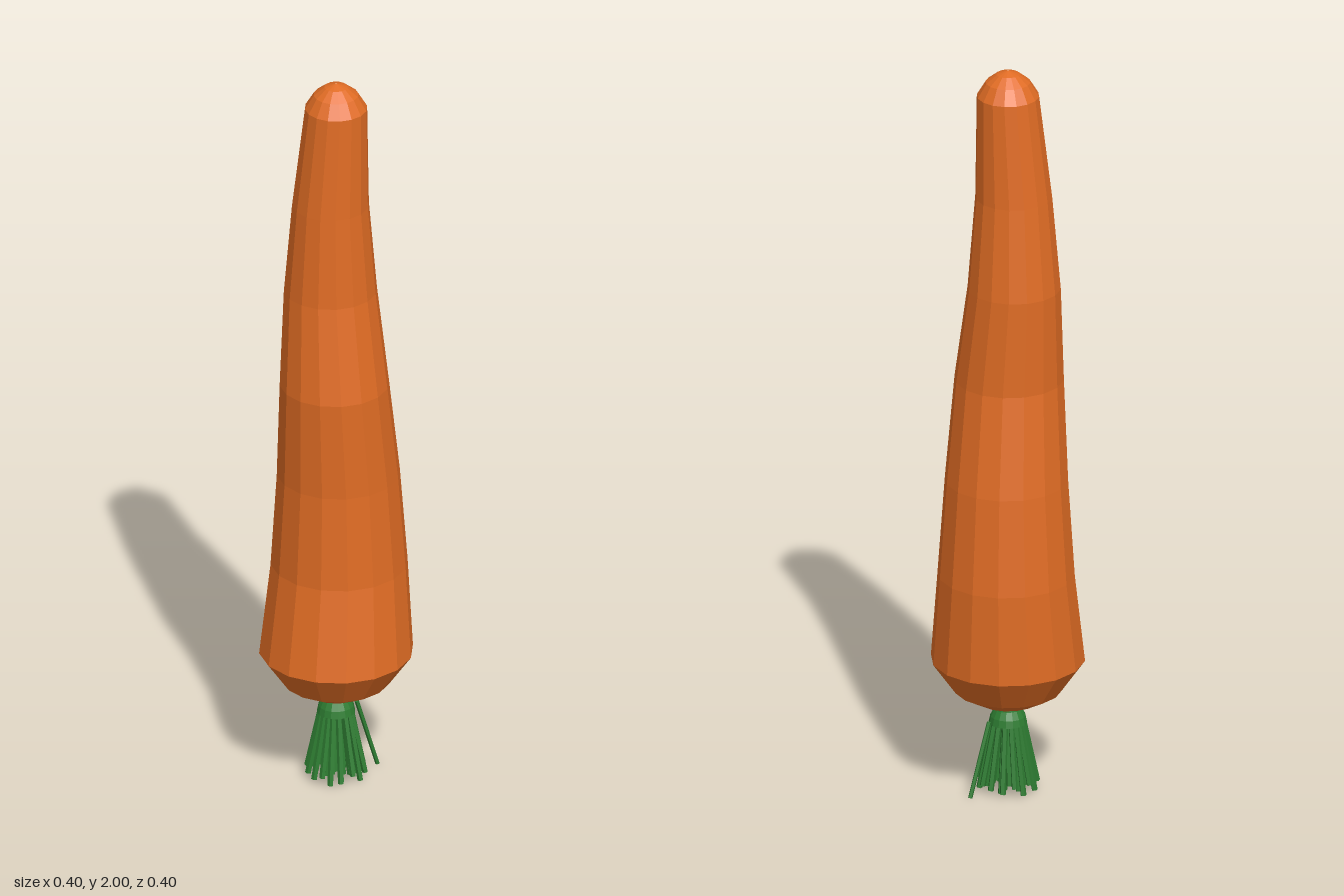
import * as THREE from 'three';

const SIDES = 16;

// Faceted skin through circular rings [y, radius, centreX, centreZ], bottom to top
function loft(rings, material) {
  const pos = [], index = [];
  for (const [y, r, cx = 0, cz = 0] of rings) {
    for (let i = 0; i < SIDES; i++) {
      const a = (i / SIDES) * Math.PI * 2;
      pos.push(cx + r * Math.cos(a), y, cz + r * Math.sin(a));
    }
  }
  for (let k = 0; k < rings.length - 1; k++) {
    for (let i = 0; i < SIDES; i++) {
      const j = (i + 1) % SIDES;
      const a = k * SIDES + i, b = k * SIDES + j, c = a + SIDES, d = b + SIDES;
      index.push(a, c, b, b, c, d);
    }
  }
  const geo = new THREE.BufferGeometry();
  geo.setAttribute('position', new THREE.Float32BufferAttribute(pos, 3));
  geo.setIndex(index);
  geo.computeVertexNormals();
  return new THREE.Mesh(geo, material);
}

export function createModel() {
  const group = new THREE.Group();
  const orange = new THREE.MeshStandardMaterial({ color: 0xe06c24, flatShading: true });
  const green = new THREE.MeshStandardMaterial({ color: 0x2e7d32, flatShading: true });

  // Root: rounded shoulder, slightly wandering taper, domed tip
  const root = loft([
    [0.23, 0.001], [0.232, 0.035], [0.247, 0.08], [0.28, 0.14],
    [0.365, 0.2],
    [0.61, 0.178, 0.002, -0.022],
    [0.87, 0.16, 0.002, -0.015],
    [1.14, 0.142, -0.002, 0.01],
    [1.4, 0.121, -0.017, -0.007],
    [1.65, 0.1, -0.015, 0],
    [1.93, 0.081],
    [1.968, 0.058], [1.99, 0.03], [2.0, 0.001],
  ], orange);
  root.name = 'root';
  group.add(root);

  // Crown where the stalks gather
  const crown = loft([
    [0.185, 0.001], [0.186, 0.05], [0.205, 0.046], [0.225, 0.036], [0.236, 0.034],
  ], green);
  crown.name = 'crown';
  group.add(crown);

  // Cut stalks fanning out below the crown
  const stalks = new THREE.Group();
  stalks.name = 'stalks';
  const up = new THREE.Vector3(0, 1, 0);
  function addStalk(x, y, z, radius) {
    const foot = new THREE.Vector3(x, y, z);
    const top = new THREE.Vector3(x * 0.5, 0.2, z * 0.5);
    const dir = top.clone().sub(foot);
    const stalk = new THREE.Mesh(
      new THREE.CylinderGeometry(radius, radius, dir.length(), 5), green);
    stalk.position.copy(foot).add(top).multiplyScalar(0.5);
    stalk.quaternion.setFromUnitVectors(up, dir.normalize());
    stalk.name = 'stalk';
    stalks.add(stalk);
  }
  for (const [count, radius] of [[1, 0], [6, 0.028], [11, 0.052], [17, 0.075]]) {
    for (let i = 0; i < count; i++) {
      const a = ((i + 0.25 * Math.sin(i * 5.3)) / count) * Math.PI * 2 + radius * 20;
      const y = 0.018 + 0.012 * Math.sin(i * 2.7 + count);
      addStalk(radius * Math.cos(a), y, radius * Math.sin(a), 0.008);
    }
  }
  addStalk(0.088, 0.004, -0.085, 0.006); // stray stalk
  group.add(stalks);

  return group;
}
